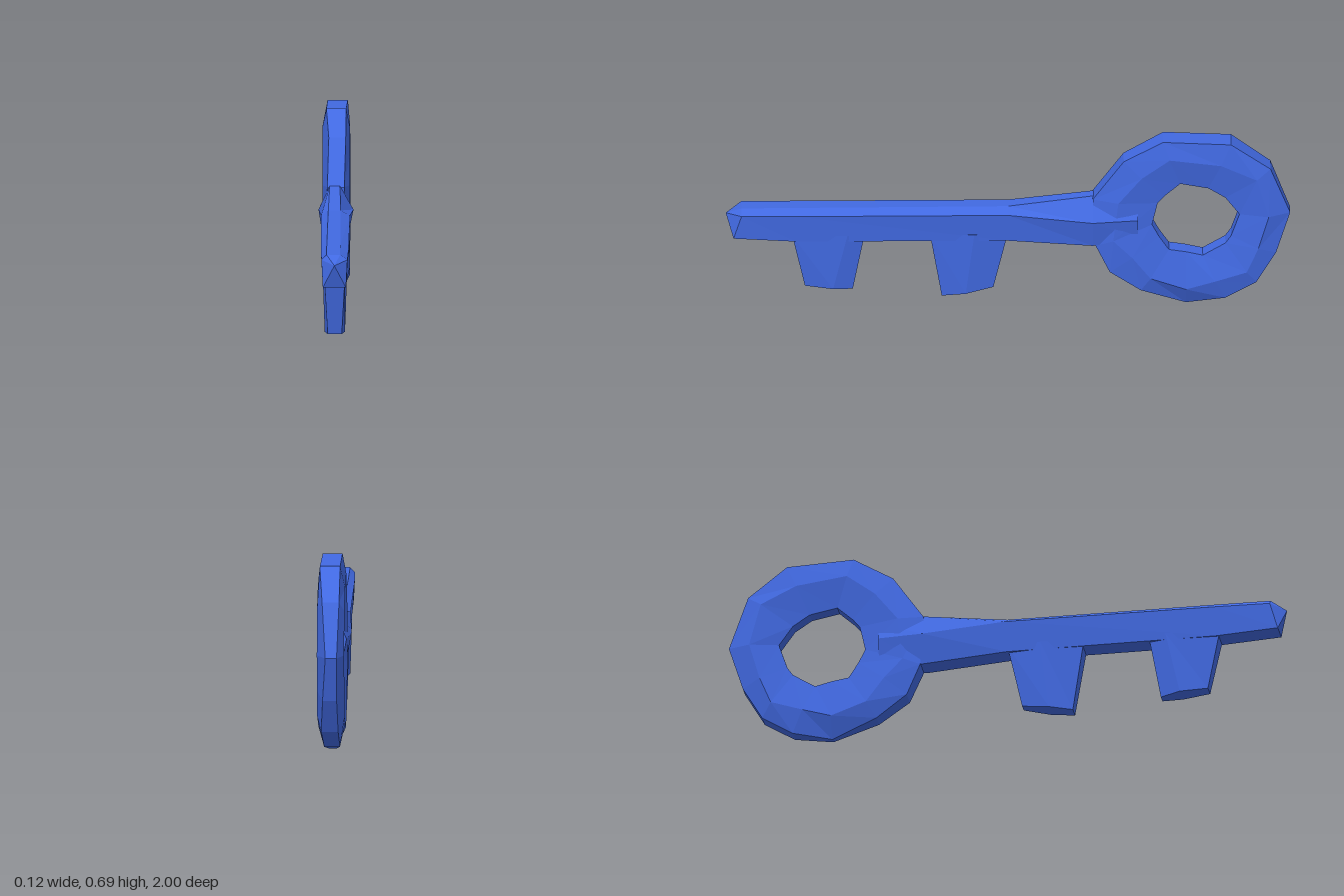
import * as THREE from 'three';

const material = new THREE.MeshStandardMaterial({ color: 0x4169e1, flatShading: true });

// Skin a list of equal-length cross-sections; either join last to first or cap the ends
// with a fan around an optional apex.
function loft(name, sections, { closed = false, apex = null } = {}) {
  const n = sections[0].length;
  const tris = [];
  const count = closed ? sections.length : sections.length - 1;
  for (let i = 0; i < count; i++) {
    const a = sections[i], b = sections[(i + 1) % sections.length];
    for (let j = 0; j < n; j++) {
      const k = (j + 1) % n;
      tris.push([a[j], b[j], b[k]], [a[j], b[k], a[k]]);
    }
  }
  if (!closed) {
    const centre = (s) => [0, 1, 2].map((c) => s.reduce((t, p) => t + p[c], 0) / n);
    const first = sections[0], last = sections[sections.length - 1];
    const c0 = apex || centre(first), c1 = centre(last);
    for (let j = 0; j < n; j++) {
      const k = (j + 1) % n;
      tris.push([c0, first[j], first[k]], [c1, last[k], last[j]]);
    }
  }
  // Turn the faces outwards if the enclosed volume comes out negative
  const v = (p) => new THREE.Vector3(...p);
  const volume = tris.reduce((t, [a, b, c]) => t + v(a).dot(v(b).cross(v(c))), 0);
  if (volume < 0) tris.forEach((t) => t.reverse());
  const geometry = new THREE.BufferGeometry();
  geometry.setAttribute('position', new THREE.Float32BufferAttribute(tris.flat(2), 3));
  geometry.computeVertexNormals();
  const mesh = new THREE.Mesh(geometry, material);
  mesh.name = name;
  return mesh;
}

// Ring handle: outer z, y; inner z, y; half width of the rim
function makeBow() {
  const stations = [
    [-0.55, 0.69, -0.61, 0.51, 0.035],
    [-0.79, 0.68, -0.71, 0.49, 0.036],
    [-0.93, 0.57, -0.77, 0.45, 0.03],
    [-1.0, 0.38, -0.82, 0.38, 0.02],
    [-0.95, 0.22, -0.79, 0.29, 0.025],
    [-0.88, 0.1, -0.77, 0.26, 0.03],
    [-0.77, 0.03, -0.69, 0.21, 0.028],
    [-0.63, 0.003, -0.63, 0.225, 0.012],
    [-0.47, 0.07, -0.57, 0.235, 0.03],
    [-0.36, 0.15, -0.535, 0.29, 0.036],
    [-0.31, 0.26, -0.51, 0.34, 0.04],
    [-0.3, 0.45, -0.53, 0.43, 0.03],
    [-0.41, 0.61, -0.555, 0.46, 0.03],
  ];
  const sections = stations.map(([oz, oy, iz, iy, w], i) => {
    const t = 0.38 + 0.08 * Math.sin(i * 2.3); // uneven hand-cut ridge
    const mz = oz + (iz - oz) * t, my = oy + (iy - oy) * t;
    const shift = 0.004 * Math.sin(i * 1.7);
    return [
      [-w + shift, oy, oz], [w + shift, oy, oz], [0.048, my, mz],
      [0.026, iy, iz], [-0.026, iy, iz], [-0.049, my, mz],
    ];
  });
  return loft('bow', sections, { closed: true });
}

// Shaft: bevelled bar with a pointed tip, flaring where it meets the ring
function makeShaft() {
  const section = ([z, top, shoulder, bottom, topW, w, bottomW, lean = 0]) => [
    [-topW - 0.004, top, z], [topW - 0.004, top, z],
    [w, shoulder, z], [bottomW, bottom, z + lean],
    [-bottomW, bottom, z + lean], [-w, shoulder, z],
  ];
  const sections = [
    [0.945, 0.42, 0.402, 0.307, 0.024, 0.046, 0.041, 0.028],
    [0.75, 0.42, 0.402, 0.292, 0.024, 0.049, 0.041],
    [0.0, 0.418, 0.4, 0.287, 0.022, 0.051, 0.04],
    [-0.3, 0.455, 0.37, 0.262, 0.018, 0.062, 0.04],
    [-0.46, 0.44, 0.37, 0.28, 0.015, 0.047, 0.03],
  ].map(section);
  return loft('shaft', sections, { apex: [0, 0.39, 1.0] });
}

// Tooth: six-sided tapering prism; z of front, ridge and back at the root and at the foot
function makeTooth(name, root, foot, footY) {
  const ring = ([f, m, b], [yf, ym, yb], [wf, wm, wb]) => [
    [-wf, yf, f], [wf, yf, f], [wm, ym, m], [wb, yb, b], [-wb, yb, b], [-wm, ym, m],
  ];
  return loft(name, [
    ring(root, [0.315, 0.315, 0.315], [0.037, 0.044, 0.03]),
    ring(foot, footY, [0.025, 0.036, 0.018]),
  ]);
}

export function createModel() {
  const key = new THREE.Group();
  key.name = 'key';
  key.add(
    makeBow(),
    makeShaft(),
    makeTooth('frontTooth', [0.765, 0.57, 0.508], [0.72, 0.62, 0.55], [0.097, 0.088, 0.078]),
    makeTooth('rearTooth', [0.277, 0.12, 0.0], [0.235, 0.15, 0.052], [0.05, 0.063, 0.08]),
  );
  return key;
}
